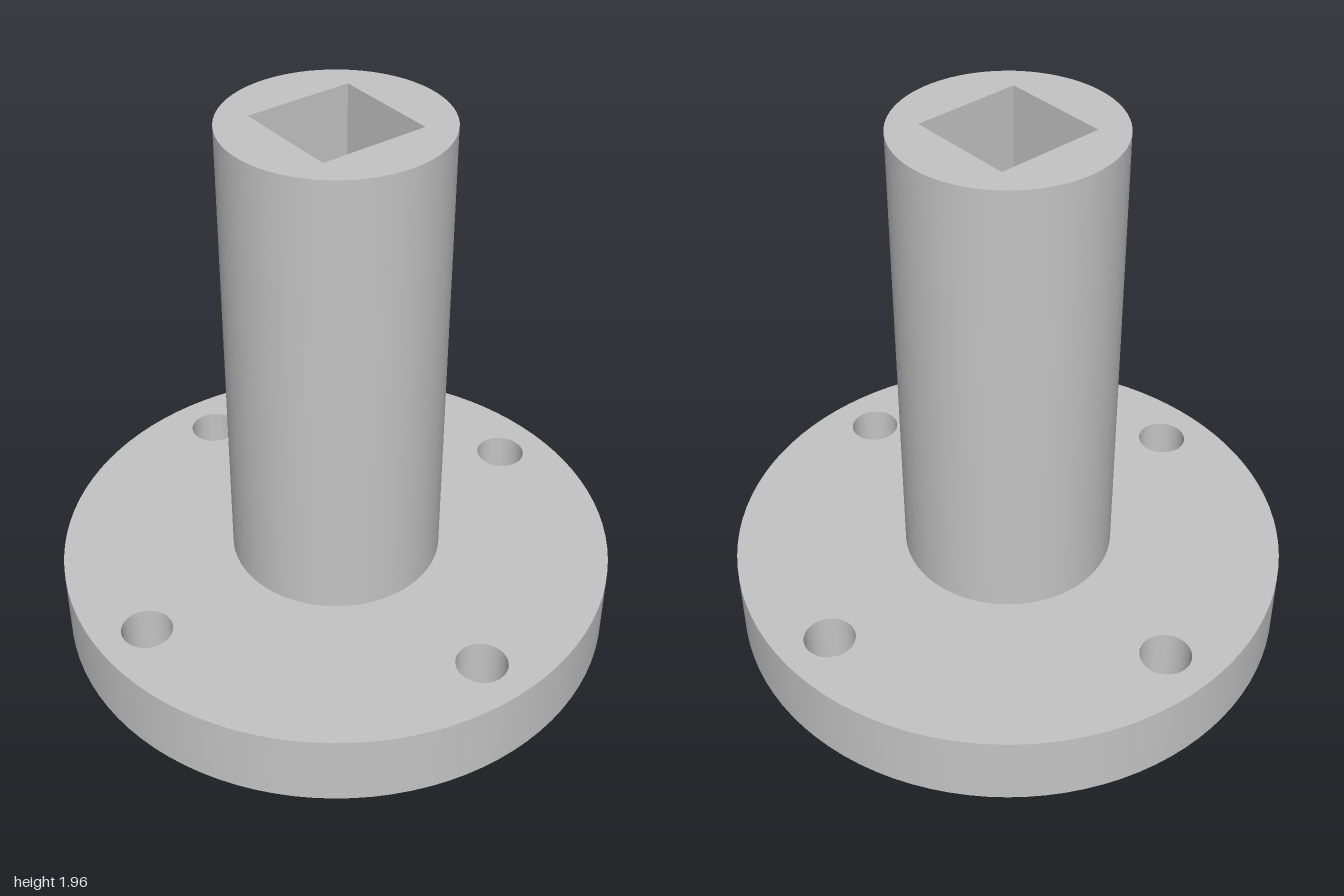
import * as THREE from 'three';

const FLANGE_R = 1, FLANGE_H = 0.27, SHAFT_R = 0.38, TOP = 1.955;
const BOLT_R = 0.09, BOLT_AT = 0.817;
const SQ = 0.195;                              // half side of the square bore
const ARM = 0.37, ARM_W = 0.115, POCKET = 0.24; // cross pocket in the underside

export function createModel() {
  const group = new THREE.Group();
  const steel = new THREE.MeshStandardMaterial({ color: 0xc4c4c4, side: THREE.DoubleSide });
  steel.name = 'grey';

  const add = (name, geometry, x = 0, y = 0, z = 0) => {
    const mesh = new THREE.Mesh(geometry, steel);
    mesh.name = name;
    mesh.position.set(x, y, z);
    group.add(mesh);
    return mesh;
  };
  const circle = (r, n, cx = 0, cy = 0) => Array.from({ length: n }, (_, i) => {
    const a = (i / n) * Math.PI * 2;
    return new THREE.Vector2(cx + r * Math.cos(a), cy + r * Math.sin(a));
  });
  // Flat horizontal face with holes, facing up (1) or down (-1)
  const face = (name, outline, holes, y, dir) => {
    const shape = new THREE.Shape(outline);
    shape.holes = holes.map((h) => new THREE.Path(h));
    add(name, new THREE.ShapeGeometry(shape).rotateX(-dir * Math.PI / 2), 0, y);
  };
  // Round upright wall
  const tube = (name, r, y0, y1, n, x = 0, z = 0) =>
    add(name, new THREE.CylinderGeometry(r, r, y1 - y0, n, 1, true), x, (y0 + y1) / 2, z);
  // Flat upright walls around a closed outline, facing inwards
  const walls = (name, pts, y0, y1) => pts.forEach((p, i) => {
    const q = pts[(i + 1) % pts.length];
    const wall = add(name, new THREE.PlaneGeometry(p.distanceTo(q), y1 - y0),
      (p.x + q.x) / 2, (y0 + y1) / 2, (p.y + q.y) / 2);
    wall.rotation.y = -Math.atan2(q.y - p.y, q.x - p.x) + Math.PI;
  });

  const square = [[SQ, SQ], [-SQ, SQ], [-SQ, -SQ], [SQ, -SQ]].map((p) => new THREE.Vector2(...p));
  // Outline of the cross joined with the square, one quarter turned four times
  const cross = [];
  for (let k = 0; k < 4; k++) {
    for (const [x, y] of [[ARM, -ARM_W], [ARM, ARM_W], [SQ, ARM_W], [SQ, SQ], [ARM_W, SQ]]) {
      cross.push(new THREE.Vector2(x, y).rotateAround(new THREE.Vector2(), k * Math.PI / 2));
    }
  }
  const bolts = [[1, 0], [0, 1], [-1, 0], [0, -1]].map(([x, z]) => [x * BOLT_AT, z * BOLT_AT]);
  const boltHoles = bolts.map(([x, z]) => circle(BOLT_R, 32, x, z));

  // Flange
  tube('flangeRim', FLANGE_R, 0, FLANGE_H, 96);
  face('flangeTop', circle(FLANGE_R, 96), [circle(SHAFT_R, 64), ...boltHoles], FLANGE_H, 1);
  face('flangeUnderside', circle(FLANGE_R, 96), [cross, ...boltHoles], 0, -1);
  bolts.forEach(([x, z]) => tube('boltHole', BOLT_R, 0, FLANGE_H, 32, x, z));

  // Shaft with square bore
  tube('shaft', SHAFT_R, FLANGE_H, TOP, 64);
  face('shaftTop', circle(SHAFT_R, 64), [square], TOP, 1);
  walls('squareBore', square, POCKET, TOP);

  // Cross pocket: side walls and the ceiling of each arm
  walls('pocketWall', cross, 0, POCKET);
  for (let k = 0; k < 4; k++) {
    const ceiling = new THREE.PlaneGeometry(ARM - SQ, ARM_W * 2).rotateX(Math.PI / 2);
    ceiling.translate((ARM + SQ) / 2, 0, 0).rotateY(k * Math.PI / 2);
    add('pocketCeiling', ceiling, 0, POCKET);
  }
  return group;
}
